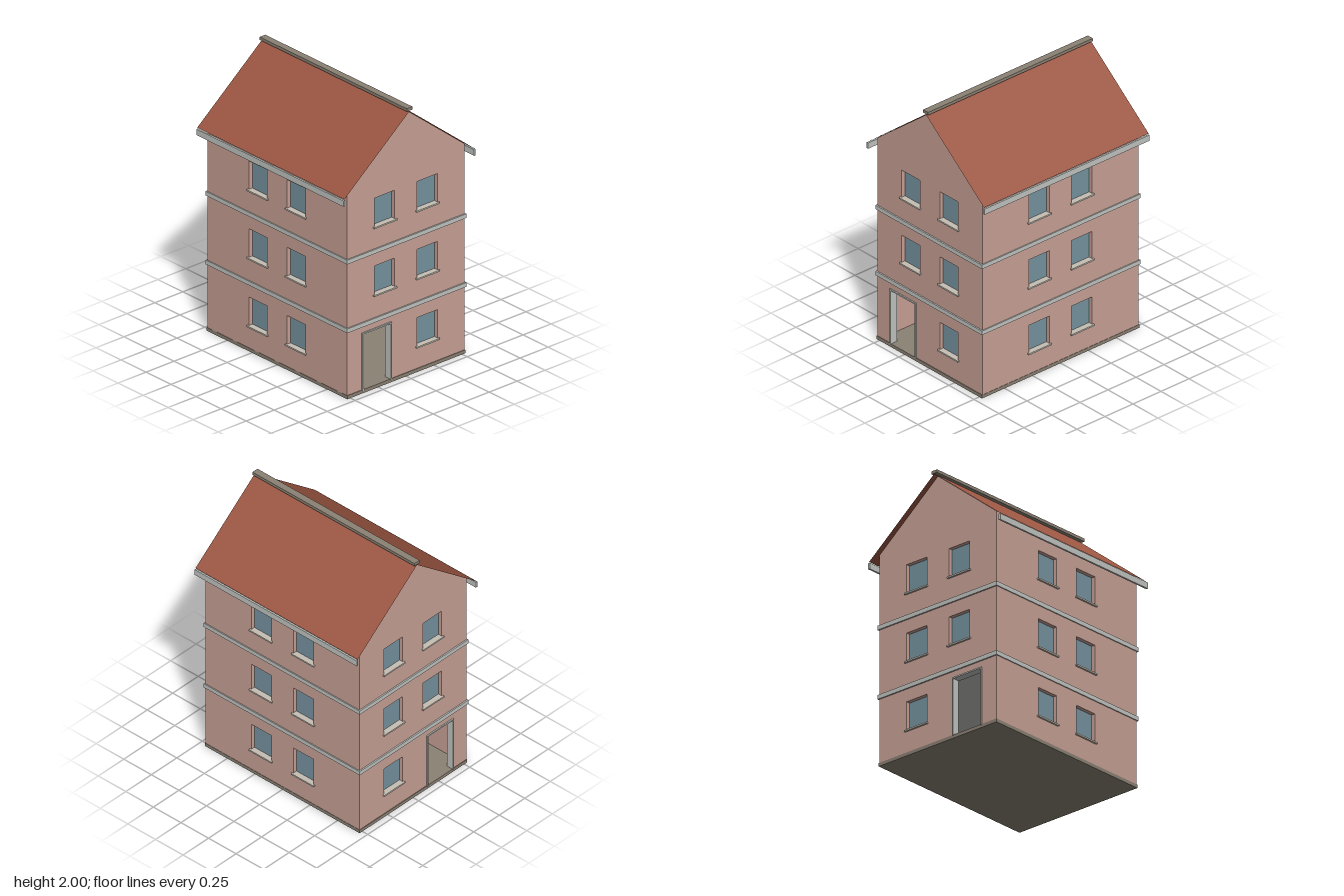
import * as THREE from 'three';

const X = 0.525, Z = 0.6975, T = 0.045;      // wall half-width, half-depth, thickness
const EAVE = 1.55, APEX = 1.972;
const ROOF_Z = 0.735;
const STOREYS = [0.185, 0.69, 1.192];        // window bottoms
const WIN_H = 0.215, WIN_W = 0.182, WIN_X = 0.191;
const DOOR = { x0: -0.394, x1: -0.132, top: 0.445 };

const mat = (name, color, side = THREE.FrontSide) => {
  const m = new THREE.MeshStandardMaterial({ color, side });
  m.name = name;
  return m;
};

function rectHole(x0, y0, x1, y1) {
  return new THREE.Path([[x0, y0], [x0, y1], [x1, y1], [x1, y0]].map(p => new THREE.Vector2(...p)));
}

// wall slab with openings, outer face at z = 0, thickness towards -z
function wallGeometry(outline, holes) {
  const s = new THREE.Shape(outline.map(p => new THREE.Vector2(...p)));
  s.holes.push(...holes);
  return new THREE.ExtrudeGeometry(s, { depth: T, bevelEnabled: false }).translate(0, 0, -T);
}

export function createModel() {
  const model = new THREE.Group();
  model.name = 'house';
  const plaster = mat('pink plaster', 0xc9a297);
  const tile = mat('roof tile', 0x9c5642, THREE.DoubleSide);
  const stone = mat('dark stone', 0x8c8275);
  const trim = mat('pale grey trim', 0xc2c6c1);
  const sillMat = mat('sill stone', 0xc6bfb4);
  const glass = mat('window glass', 0x7794a1);

  const add = (parent, name, geo, material, x = 0, y = 0, z = 0) => {
    const m = new THREE.Mesh(geo, material);
    m.name = name;
    m.position.set(x, y, z);
    parent.add(m);
    return m;
  };
  const box = (parent, name, material, w, h, d, x, y, z) =>
    add(parent, name, new THREE.BoxGeometry(w, h, d), material, x, y, z);

  const windowHole = (x, y) => rectHole(x - WIN_W / 2, y, x + WIN_W / 2, y + WIN_H);

  // glass and sill of one window, in the frame of its wall
  const addWindow = (wall, x, y) => {
    box(wall, 'windowPane', glass, WIN_W, WIN_H, 0.008, x, y + WIN_H / 2, -0.034);
    box(wall, 'windowSill', sillMat, 0.205, 0.011, 0.045, x, y, -0.0085);
  };

  // gabled end walls: a door replaces the ground-floor window on the -x side
  const endSpots = [], sideSpots = [];
  STOREYS.forEach((y, i) => [-WIN_X, WIN_X].forEach(x => {
    sideSpots.push([x, y]);
    if (i > 0 || x > 0) endSpots.push([x, y]);
  }));
  const endGeo = wallGeometry(
    [[-X, 0.01], [X, 0.01], [X, EAVE], [0, APEX - 0.002], [-X, EAVE]],
    [...endSpots.map(p => windowHole(...p)), rectHole(DOOR.x0, 0.015, DOOR.x1, DOOR.top)]);
  const sideL = Z - T;
  const sideGeo = wallGeometry(
    [[-sideL, 0.01], [sideL, 0.01], [sideL, EAVE], [-sideL, EAVE]],
    sideSpots.map(p => windowHole(...p)));

  for (const s of [1, -1]) {
    const end = new THREE.Group();
    end.name = s > 0 ? 'frontWall' : 'backWall';
    end.position.z = s * Z;
    end.rotation.y = s > 0 ? 0 : Math.PI;
    // keep the back door opposite the front one by mirroring x positions
    const geo = s > 0 ? endGeo : endGeo.clone().rotateY(Math.PI).translate(0, 0, -T);
    const wall = add(end, 'gableWall', geo, plaster);
    if (s < 0) {
      wall.geometry = endGeo;
      wall.rotation.y = Math.PI;
      wall.position.z = -T;
    }
    endSpots.forEach(([x, y]) => addWindow(end, s * x, y));
    // door frame
    const w = 0.011, d = T + 0.012, h = DOOR.top - 0.02;
    for (const x of [DOOR.x0 + w / 2, DOOR.x1 - w / 2])
      box(end, 'doorJamb', trim, w, h, d, s * x, 0.02 + h / 2, 0.01 - d / 2);
    box(end, 'doorLintel', trim, DOOR.x1 - DOOR.x0, 0.01, d,
      s * (DOOR.x0 + DOOR.x1) / 2, DOOR.top - 0.004, 0.0095 - d / 2);
    model.add(end);

    const side = new THREE.Group();
    side.name = s > 0 ? 'leftWall' : 'rightWall';
    side.position.x = s * X;
    side.rotation.y = s * Math.PI / 2;
    add(side, 'sideWall', sideGeo, plaster);
    sideSpots.forEach(p => addWindow(side, ...p));
    model.add(side);
  }

  // ground slab and the storey slabs that show as bands
  box(model, 'groundSlab', stone, 1.054, 0.025, 1.404, 0, 0.0125, 0);
  for (const y of [0.508, 1.017])
    box(model, 'storeyBand', trim, 1.066, 0.031, 1.416, 0, y, 0);

  // thin roof slopes, eaves boards and ridge cap
  const eaveX = 0.583, eaveY = APEX - eaveX * 0.8;
  for (const s of [1, -1]) {
    const g = new THREE.PlaneGeometry(Math.hypot(eaveX, APEX - eaveY), 2 * ROOF_Z);
    g.rotateX(-Math.PI / 2).rotateZ(-s * Math.atan2(APEX - eaveY, eaveX));
    add(model, 'roofSlope', g, tile, s * eaveX / 2, (APEX + eaveY) / 2 + 0.003, 0);
    box(model, 'eavesBoard', trim, 0.014, 0.044, 2 * ROOF_Z, s * 0.584, 1.479, 0);
  }
  box(model, 'ridgeCap', stone, 0.05, 0.022, 2 * ROOF_Z, 0, 1.989, 0);
  return model;
}
